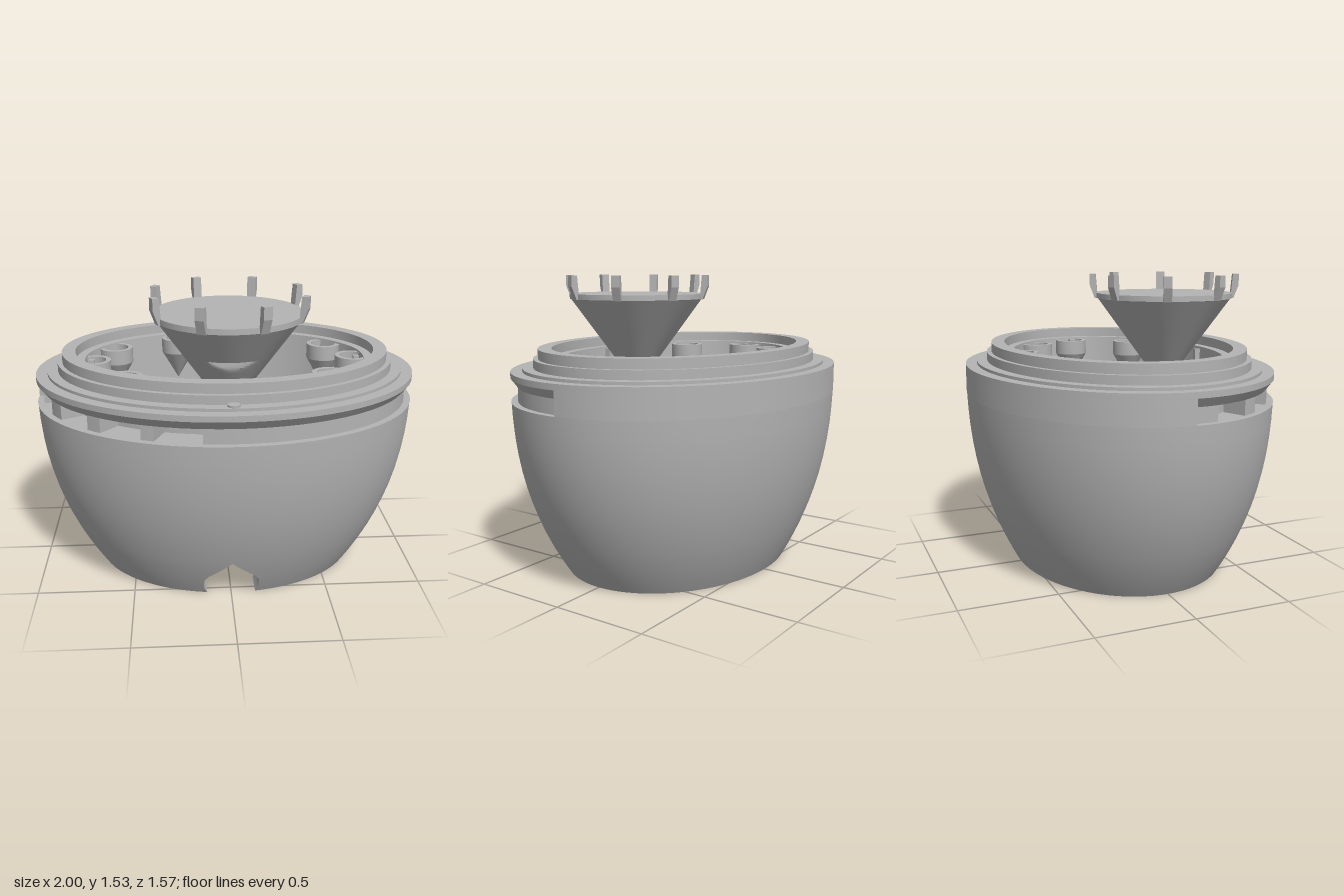
import * as THREE from 'three';
import { toCreasedNormals } from 'three/addons/utils/BufferGeometryUtils.js';

const RX = 1, RZ = 0.785, TAU = Math.PI * 2;

export function createModel() {
  const model = new THREE.Group();
  model.name = 'ovalPlanter';
  const grey = new THREE.MeshStandardMaterial({ color: 0xb4b4b4, side: THREE.DoubleSide });
  grey.name = 'grey';

  function add(name, geometry, parent = model) {
    const mesh = new THREE.Mesh(geometry, grey);
    mesh.name = name;
    parent.add(mesh);
    return mesh;
  }

  // Surface from a rule: rule(u, j) gives the point at fraction u along row j
  function surface(name, cols, rows, rule) {
    const g = new THREE.PlaneGeometry(1, 1, cols, rows - 1);
    const p = g.attributes.position;
    for (let j = 0; j < rows; j++)
      for (let i = 0; i <= cols; i++) p.setXYZ(j * (cols + 1) + i, ...rule(i / cols, j));
    return add(name, toCreasedNormals(g, 0.5));
  }

  // Oval band through [inset, y] points, angle measured from the front
  const ring = (inset, y, t) => [(RX - inset) * Math.sin(t), y, (RZ - inset) * Math.cos(t)];
  const band = (name, pts, t0, t1, cols) =>
    surface(name, cols, pts.length, (u, j) => ring(...pts[j], t0 + (t1 - t0) * u));
  // Flat radial face joining two lists of [inset, y] points
  const endFace = (name, outer, inner, t) =>
    surface(name, 1, outer.length, (u, j) => ring(...(u ? inner : outer)[j], t));

  // Pointed front opening as [y, half width]
  const arch = [[0, 0.125], [0.03, 0.139], [0.065, 0.143], [0.1, 0.139], [0.13, 0.118],
    [0.16, 0.08], [0.19, 0.045], [0.21, 0.02], [0.23, 0]];
  const bodyScale = y => 0.7 + 0.3 * (1 - Math.pow(Math.max(0, 1 - y / 1.03), 2.4));
  const onBody = (t, y, out = 0) =>
    [(bodyScale(y) * RX + out) * Math.sin(t), y, (bodyScale(y) * RZ + out) * Math.cos(t)];
  const archAngle = ([y, w]) => Math.asin(w / bodyScale(y));

  // Lower shell, opened at the front by the arch
  const shellRows = [...arch, ...[0.3, 0.38, 0.46, 0.55, 0.64, 0.73, 0.82, 0.91].map(y => [y, 0])];
  surface('shell', 96, shellRows.length, (u, j) => {
    const a = archAngle(shellRows[j]);
    return onBody(a + (TAU - 2 * a) * u, shellRows[j][0]);
  });

  // Shell above the slot: plain at the back, recessed at the front
  const slotEnd = 1.59;
  band('backBand', [[0, 0.91], [0, 1.03]], slotEnd, TAU - slotEnd, 48);
  band('slotLedge', [[0, 0.91], [0.035, 0.91]], -slotEnd, slotEnd, 48);
  band('slotChamfer', [[0.035, 0.985], [0, 1.03]], -slotEnd, slotEnd, 48);
  for (const s of [-1, 1])
    endFace('slotEnd', [[0, 0.91], [0, 0.985], [0, 1.03]],
      [[0.035, 0.91], [0.035, 0.985], [0, 1.03]], s * slotEnd);

  // Slot wall with four window pockets on one side
  let from = -slotEnd;
  for (const c of [-1.295, -0.92, -0.585, -0.27]) {
    const a = c - 0.125, b = c + 0.12;
    band('slotWall', [[0.035, 0.91], [0.035, 0.985]], from, a, 8);
    band('windowPocket', [[0.035, 0.91], [0.16, 0.91], [0.16, 0.985], [0.035, 0.985]], a, b, 6);
    for (const t of [a, b])
      endFace('windowSide', [[0.035, 0.91], [0.035, 0.985]], [[0.16, 0.91], [0.16, 0.985]], t);
    from = b;
  }
  band('slotWall', [[0.035, 0.91], [0.035, 0.985]], from, slotEnd, 32);

  // Stepped rim and inner tub
  band('rimAndTub', [[0, 1.03], [0, 1.06], [0.06, 1.06], [0.06, 1.075], [0.115, 1.075],
    [0.115, 1.12], [0.14, 1.12], [0.14, 1.17], [0.21, 1.17], [0.21, 1.12], [0.258, 1.12],
    [0.28, 0.8]], 0, TAU, 96);
  const floor = add('tubFloor', new THREE.CircleGeometry(1, 72).rotateX(-Math.PI / 2));
  floor.scale.set(0.72, 1, 0.505);
  floor.position.y = 0.8;

  // Ribs on the tub floor and walls
  for (let i = 0; i < 4; i++) {
    const along = i % 2 ? 0.71 : 0.5;
    const rib = new THREE.Group();
    rib.name = 'rib';
    add('floorRib', new THREE.BoxGeometry(0.025, 0.03, along), rib).position.set(0, 0.812, along / 2);
    add('wallRib', new THREE.BoxGeometry(0.025, 0.31, 0.03), rib).position.set(0, 0.955, along);
    rib.rotation.y = i * Math.PI / 2;
    model.add(rib);
  }

  // Cups with pointed undersides around the tub
  const cupProfile = [[0, 0.87], [0.092, 1.03], [0.092, 1.11], [0.067, 1.11], [0.067, 1.05], [0, 1.05]]
    .map(p => new THREE.Vector2(...p));
  const cup = toCreasedNormals(new THREE.LatheGeometry(cupProfile, 32), 0.5);
  for (const [x, z] of [[-0.25, -0.445], [0.225, -0.455], [-0.595, -0.245], [0.575, -0.265],
    [-0.7, 0.005], [0.69, -0.01], [-0.515, 0.305], [0.515, 0.3]])
    add('cup', cup).position.set(x, 0, z);

  // Raised dish on a post, with a flat cut at the front of its cone
  const dish = new THREE.Group();
  dish.name = 'dish';
  dish.position.z = 0.292;
  model.add(dish);
  const coneRadius = y => 0.195 + (y - 1.17) * 0.725;
  const profile = [[0.09, 0.8], [0.09, 1.025]];
  for (const y of [1.1, 1.17, 1.185, 1.2, 1.21, 1.22, 1.235, 1.2351, 1.4]) profile.push([coneRadius(y), y]);
  profile.push([0.37, 1.402], [0.37, 1.43], [0, 1.43]);
  const dishGeometry = new THREE.LatheGeometry(profile.map(p => new THREE.Vector2(...p)), 64);
  const dp = dishGeometry.attributes.position;
  for (let i = 0; i < dp.count; i++)
    if (dp.getY(i) < 1.23505 && dp.getZ(i) > 0.21) dp.setZ(i, 0.21);
  add('dishAndPost', toCreasedNormals(dishGeometry, 0.5), dish);

  // Prongs around the dish
  const prongShape = new THREE.Shape([[0.362, 1.4], [0.378, 1.4], [0.405, 1.47], [0.405, 1.53], [0.373, 1.53]]
    .map(p => new THREE.Vector2(...p)));
  const prong = new THREE.ExtrudeGeometry(prongShape, { depth: 0.044, bevelEnabled: false });
  prong.translate(0, 0, -0.022);
  for (let i = 0; i < 8; i++) add('prong', prong, dish).rotation.y = (i + 0.5) * Math.PI / 4;

  // Small peg on the front of the rim
  add('rimPeg', new THREE.CylinderGeometry(0.03, 0.03, 0.04, 16)).position.set(0, 1.065, 0.69);

  // Base plate with a cavity joined to the front arch, and four foot holes
  const a0 = archAngle(arch[0]), w0 = arch[0][1], front = 0.4, top = 0.25;
  const cavity = [[-w0, front], [-0.3, front], [-0.3, 0.2], [-0.36, 0.2], [-0.36, -0.16],
    [0.36, -0.16], [0.36, front], [w0, front]];
  const edge = [];
  for (let i = 0; i <= 96; i++) {
    const [x, , z] = onBody(a0 + (TAU - 2 * a0) * i / 96, 0);
    edge.push(new THREE.Vector2(x, z));
  }
  const toShape = pts => new THREE.Shape(pts.map(p => new THREE.Vector2(...p)));
  const base = new THREE.Shape([...edge, ...cavity.map(p => new THREE.Vector2(...p))]);
  for (const [x, z] of [[0.36, -0.265], [-0.36, -0.265], [0.47, 0.09], [-0.47, 0.09]]) {
    base.holes.push(new THREE.Path().absarc(x, z, 0.072, 0, TAU));
    add('footHoleWall', new THREE.CylinderGeometry(0.072, 0.072, 0.05, 24, 1, true)).position.set(x, 0.025, z);
    add('footHoleTop', new THREE.CircleGeometry(0.072, 24).rotateX(Math.PI / 2)).position.set(x, 0.05, z);
  }
  add('base', new THREE.ShapeGeometry(base, 24).rotateX(Math.PI / 2));

  // Cavity ceiling and walls
  add('cavityTop', new THREE.ShapeGeometry(toShape(cavity)).rotateX(Math.PI / 2)).position.y = top;
  surface('cavityWalls', cavity.length - 3, 2, (u, j) => {
    const [x, z] = cavity[1 + Math.round(u * (cavity.length - 3))];
    return [x, j * top, z];
  });
  add('cavityFront', new THREE.ShapeGeometry(toShape([[-0.3, 0], ...arch.map(([y, w]) => [-w, y]),
    ...arch.slice(0, -1).reverse().map(([y, w]) => [w, y]), [0.36, 0], [0.36, top], [-0.3, top]])))
    .position.z = front;

  // Sides of the arch running back to the cavity
  for (const s of [-1, 1])
    surface('archSide', 1, arch.length, (u, j) => {
      const [x, y, z] = onBody(s * archAngle(arch[j]), arch[j][0]);
      return [x, y, u ? front : z];
    });

  // Small two-part port beside the arch
  for (const t of [0.448, 0.514])
    surface('portPlate', 1, 2, (u, j) => onBody(t + u * 0.062, 0.03 + j * 0.05, 0.004));

  return model;
}
